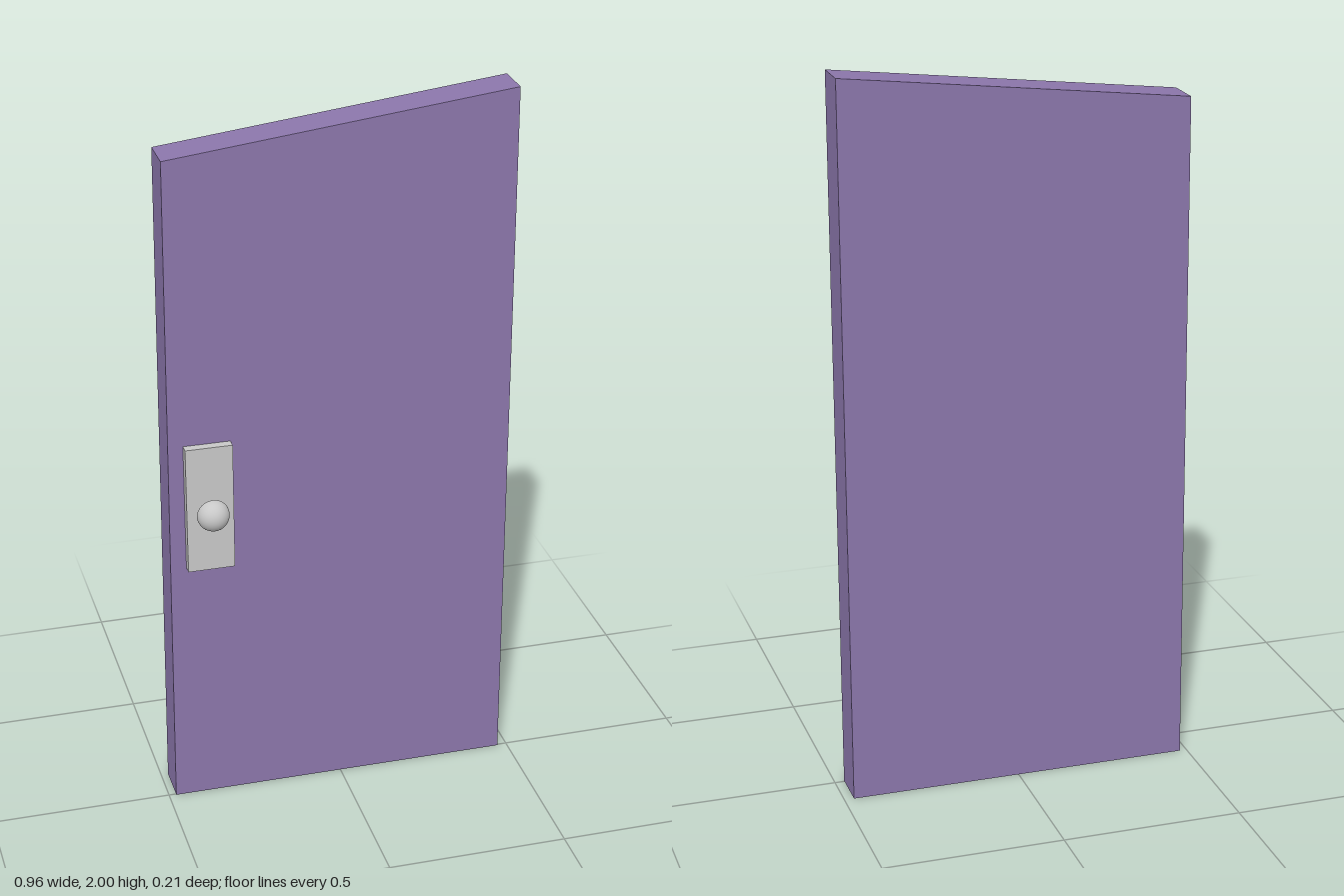
import * as THREE from 'three';

export function createModel() {
  const group = new THREE.Group();
  const purple = new THREE.MeshStandardMaterial({ name: 'purple paint', color: 0x8b76ab });
  const metal = new THREE.MeshStandardMaterial({ name: 'grey metal', color: 0xc8c8c8 });

  const add = (name, geometry, material, x, y, z) => {
    const mesh = new THREE.Mesh(geometry, material);
    mesh.name = name;
    mesh.position.set(x, y, z);
    group.add(mesh);
  };

  // Door slab with a slanted top edge
  const outline = new THREE.Shape([
    new THREE.Vector2(-0.48, 0),
    new THREE.Vector2(0.473, 0),
    new THREE.Vector2(0.48, 2),
    new THREE.Vector2(-0.467, 1.89),
  ]);
  add('doorPanel', new THREE.ExtrudeGeometry(outline, { depth: 0.11, bevelEnabled: false }), purple, 0, 0, -0.106);

  // Lock plate
  add('lockPlate', new THREE.BoxGeometry(0.129, 0.365, 0.027), metal, -0.367, 0.907, 0.0165);

  // Knob stem and domed knob, turned around the z axis
  const stem = new THREE.CylinderGeometry(0.012, 0.012, 0.036, 24, 1, true).rotateX(Math.PI / 2);
  add('knobStem', stem, metal, -0.367, 0.906, 0.046);

  const dome = new THREE.SphereGeometry(0.044, 32, 12, 0, Math.PI * 2, 0, Math.PI / 2).rotateX(Math.PI / 2);
  add('knobDome', dome, metal, -0.367, 0.906, 0.061);

  const back = new THREE.CircleGeometry(0.044, 32).rotateY(Math.PI);
  add('knobBack', back, metal, -0.367, 0.906, 0.061);

  return group;
}
